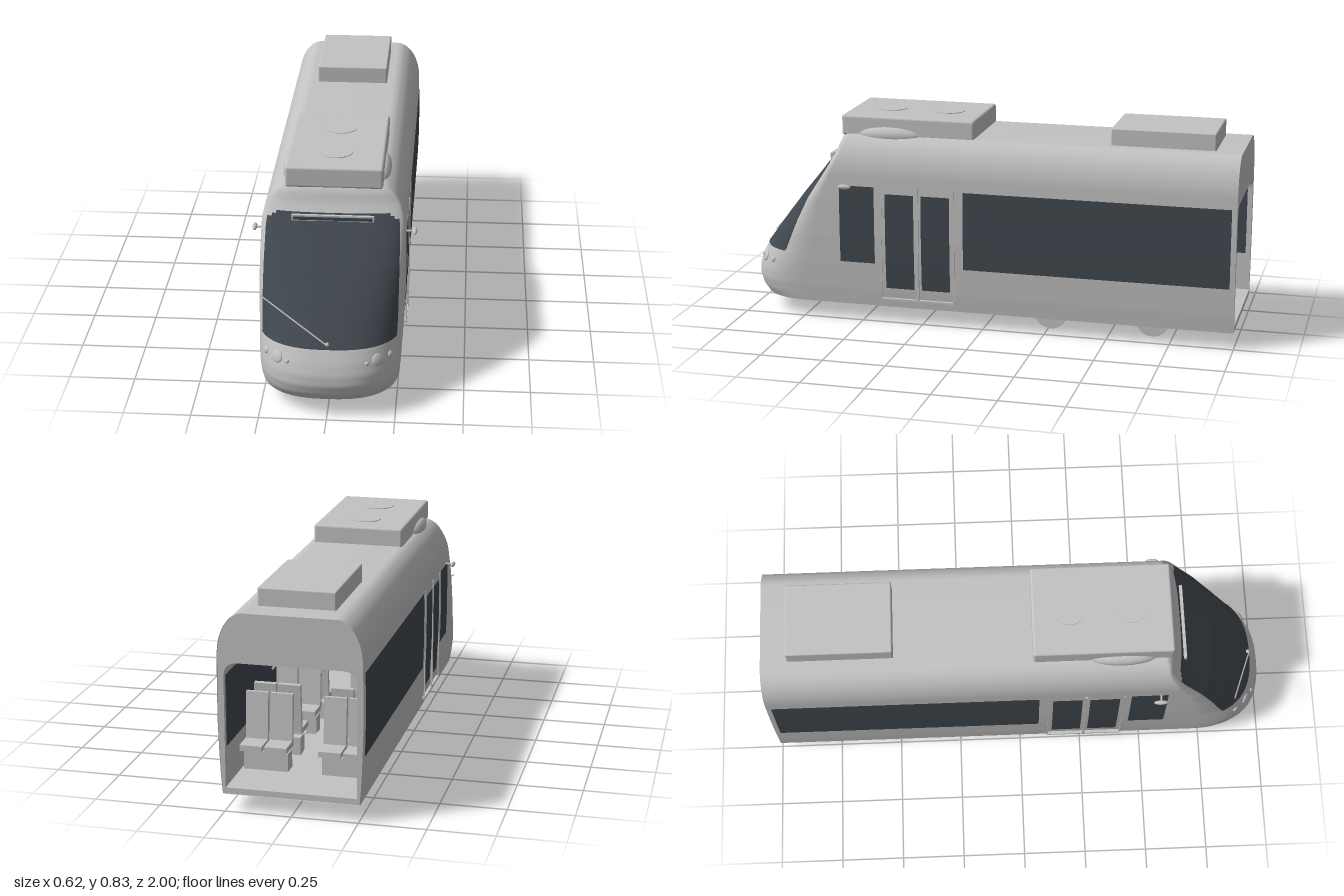
import * as THREE from 'three';
import { RoundedBoxGeometry } from 'three/addons/geometries/RoundedBoxGeometry.js';

const bodyMat = new THREE.MeshStandardMaterial({ color: 0xc2c2c2, side: THREE.DoubleSide });
bodyMat.name = 'light grey';
const glassMat = new THREE.MeshStandardMaterial({ color: 0x41484f, side: THREE.DoubleSide });
glassMat.name = 'dark glass';

// Piecewise linear lookup in [[y, value], ...]
function lookup(table, y) {
  for (let i = 1; i < table.length; i++) {
    const [y0, v0] = table[i - 1], [y1, v1] = table[i];
    if (y <= y1) return v0 + (v1 - v0) * (y - y0) / (y1 - y0);
  }
  return table[table.length - 1][1];
}
const NOSE = [[0.07, 0.965], [0.1, 0.988], [0.14, 1], [0.18, 0.997], [0.22, 0.983], [0.27, 0.958],
  [0.4, 0.86], [0.5, 0.78], [0.6, 0.695], [0.66, 0.645], [0.7, 0.62], [0.74, 0.605], [0.76, 0.59]];
const DEPTH = [[0.07, 0.25], [0.28, 0.25], [0.4, 0.17], [0.5, 0.11], [0.6, 0.07], [0.66, 0.045], [0.76, 0.03]];
const WIDTH = [[0.07, 0.256], [0.14, 0.262], [0.25, 0.267], [0.35, 0.27], [0.5, 0.27], [0.6, 0.268]];
const POWER = 2.5;

// Half width of the body at a height, with a rounded roof shoulder
const halfWidth = (y) => y < 0.6 ? lookup(WIDTH, y)
  : 0.168 + 0.1 * Math.sqrt(Math.max(0, 1 - ((y - 0.6) / 0.16) ** 2));
function nosePoint(x, y) {
  const d = lookup(DEPTH, y), r = Math.min(1, Math.abs(x) / halfWidth(y));
  return new THREE.Vector3(x, y, lookup(NOSE, y) - d + d * (1 - r ** POWER) ** (1 / POWER));
}

// Plan outline at a height: rear right, round the nose, rear left
const STEPS = 60;
function outline(y) {
  const w = halfWidth(y), d = lookup(DEPTH, y), zs = lookup(NOSE, y) - d;
  const pts = [[-w, -1]];
  for (let k = 0; k <= STEPS; k++) {
    const t = -Math.PI / 2 + Math.PI * k / STEPS;
    const s = Math.sin(t), c = Math.max(0, Math.cos(t));
    pts.push([w * Math.sign(s) * Math.abs(s) ** (2 / POWER), zs + d * c ** (2 / POWER)]);
  }
  pts.push([w, -1]);
  return pts;
}

function shellGeometry() {
  const rows = [];
  for (let i = 0; i < 69; i++) rows.push(0.07 + i * 0.01);
  rows.push(0.754, 0.757, 0.759, 0.76);
  const n = STEPS + 3, pos = [], body = [], glass = [];
  for (const y of rows) for (const [x, z] of outline(y)) pos.push(x, y, z);
  for (let i = 0; i < rows.length - 1; i++) {
    for (let j = 0; j < n - 1; j++) {
      const a = i * n + j, b = a + 1, c = a + n, d = c + 1;
      const y = (rows[i] + rows[i + 1]) / 2;
      const ax = Math.abs(pos[a * 3] + pos[b * 3]) / 2;
      const side = Math.abs(j + 0.5 - (1 + STEPS / 2));
      const top = 0.67 - Math.max(0, ax - 0.2) * 0.5;
      const isGlass = side < 22 && y > 0.27 && y < top;
      (isGlass ? glass : body).push(a, b, d, a, d, c);
    }
  }
  // Roof between the two halves of the top row
  const o = (rows.length - 1) * n;
  for (let j = 0; j < (n - 1) / 2; j++) {
    const l0 = o + j, l1 = l0 + 1, r0 = o + n - 1 - j, r1 = r0 - 1;
    body.push(l0, l1, r0);
    if (l1 !== r1) body.push(l1, r1, r0);
  }
  const g = new THREE.BufferGeometry();
  g.setAttribute('position', new THREE.Float32BufferAttribute(pos, 3));
  g.setIndex([...body, ...glass]);
  g.addGroup(0, body.length, 0);
  g.addGroup(body.length, glass.length, 1);
  g.computeVertexNormals();
  return g;
}

// Thin panel following the left or right wall
function wallPanel(side, z0, z1, y0, y1) {
  const g = new THREE.PlaneGeometry(1, 1, 1, 12), p = g.attributes.position;
  for (let i = 0; i < p.count; i++) {
    const y = y0 + (p.getY(i) + 0.5) * (y1 - y0);
    p.setXYZ(i, side * (halfWidth(y) + 0.002), y, side > 0 ? z1 - (p.getX(i) + 0.5) * (z1 - z0) : z0 + (p.getX(i) + 0.5) * (z1 - z0));
  }
  g.computeVertexNormals();
  return g;
}

export function createModel() {
  const root = new THREE.Group();
  root.name = 'tramCar';
  const add = (name, geo, x = 0, y = 0, z = 0, mat = bodyMat, parent = root) => {
    const m = new THREE.Mesh(geo, mat);
    m.name = name;
    m.position.set(x, y, z);
    parent.add(m);
    return m;
  };
  const box = (name, w, h, d, x, y, z, mat, parent) => add(name, new THREE.BoxGeometry(w, h, d), x, y, z, mat, parent);
  const rod = (name, a, b, r) => {
    const dir = b.clone().sub(a);
    const m = add(name, new THREE.CylinderGeometry(r, r, dir.length(), 10));
    m.position.copy(a).addScaledVector(dir, 0.5);
    m.quaternion.setFromUnitVectors(new THREE.Vector3(0, 1, 0), dir.normalize());
  };
  const V = (x, y, z) => new THREE.Vector3(x, y, z);

  // Outer shell with windscreen, and underside
  add('bodyShell', shellGeometry(), 0, 0, 0, [bodyMat, glassMat]);
  const under = new THREE.ShapeGeometry(new THREE.Shape(outline(0.07).map(([x, z]) => new THREE.Vector2(x, z))));
  add('underside', under.rotateX(Math.PI / 2), 0, 0.07, 0);

  // Rear end wall and inner saloon lining in one extrusion
  const right = [], left = [];
  for (let i = 0; i <= 46; i++) {
    const y = 0.072 + 0.686 * (1 - (1 - i / 46) ** 1.6);
    right.push(new THREE.Vector2(halfWidth(y) - 0.002, y));
    left.unshift(new THREE.Vector2(-halfWidth(y) + 0.002, y));
  }
  const section = new THREE.Shape([...right, ...left]);
  const hole = new THREE.Path();
  hole.moveTo(-0.245, 0.095).lineTo(-0.245, 0.52).quadraticCurveTo(-0.243, 0.57, -0.195, 0.572)
    .lineTo(0.195, 0.572).quadraticCurveTo(0.243, 0.57, 0.245, 0.52).lineTo(0.245, 0.095);
  section.holes.push(hole);
  add('saloonLining', new THREE.ExtrudeGeometry(section, { depth: 1.45, bevelEnabled: false, curveSegments: 8 }), 0, 0, -1);
  box('cabBulkhead', 0.5, 0.49, 0.01, 0, 0.335, 0.45);

  // Side windows and doors
  for (const s of [-1, 1]) {
    for (const [name, z0, z1, y0, y1] of [['saloonWindow', -0.98, 0.075, 0.25, 0.565],
      ['doorWindow', 0.13, 0.247, 0.15, 0.54], ['doorWindow', 0.277, 0.395, 0.15, 0.54],
      ['cabWindow', 0.44, 0.585, 0.25, 0.565]])
      add(name, wallPanel(s, z0, z1, y0, y1), 0, 0, 0, glassMat);
    box('innerWindow', 0.003, 0.27, 1.05, s * 0.2435, 0.385, -0.455, glassMat);
    box('doorSeal', 0.008, 0.47, 0.01, s * 0.27, 0.335, 0.262);
    for (const z of [0.113, 0.412]) box('doorFrame', 0.005, 0.46, 0.005, s * 0.269, 0.335, z);
    box('doorSill', 0.02, 0.008, 0.3, s * 0.262, 0.105, 0.262);

    // Mirror
    rod('mirrorArm', V(s * 0.26, 0.567, 0.555), V(s * 0.3, 0.567, 0.555), 0.004);
    add('mirror', new THREE.SphereGeometry(1, 16, 12), s * 0.301, 0.567, 0.553).scale.set(0.009, 0.01, 0.028);

    // Headlights lie flat on the nose
    for (const [x, y, r] of [[0.183, 0.225, 0.023], [0.145, 0.22, 0.008], [0.228, 0.225, 0.013]]) {
      const p = nosePoint(s * x, y);
      const du = nosePoint(s * x + 0.004, y).sub(nosePoint(s * x - 0.004, y));
      const dv = nosePoint(s * x, y + 0.01).sub(nosePoint(s * x, y - 0.01));
      const lamp = add('headlight', new THREE.SphereGeometry(1, 20, 12), p.x, p.y, p.z);
      lamp.scale.set(r, r, 0.007);
      lamp.quaternion.setFromUnitVectors(V(0, 0, 1), du.cross(dv).normalize());
    }

    // Fairing beside the front roof unit
    add('roofFairing', new THREE.SphereGeometry(1, 24, 12), s * 0.172, 0.757, 0.4).scale.set(0.034, 0.036, 0.13);
  }

  // Destination display and wiper
  box('displayFrame', 0.306, 0.022, 0.012, 0, 0.655, 0.651);
  box('displayGlass', 0.294, 0.012, 0.004, 0, 0.654, 0.657, glassMat);
  rod('wiper', V(0, 0.288, 0.957), V(-0.25, 0.435, 0.862), 0.003);
  add('wiperPivot', new THREE.SphereGeometry(0.008, 12, 8), 0, 0.288, 0.95);

  // Roof units
  add('frontRoofUnit', new RoundedBoxGeometry(0.364, 0.082, 0.545, 3, 0.01), 0, 0.791, 0.325);
  add('rearRoofUnit', new RoundedBoxGeometry(0.29, 0.08, 0.41, 3, 0.006), 0, 0.788, -0.692);
  for (const z of [0.2, 0.44]) add('roofFan', new THREE.CylinderGeometry(0.062, 0.062, 0.005, 32), 0, 0.832, z);

  // Bogie
  const across = (r, len) => new THREE.CylinderGeometry(r, r, len, 28).rotateZ(Math.PI / 2);
  for (const z of [-0.26, -0.67]) {
    add('axle', across(0.012, 0.36), 0, 0.064, z);
    const t = z === -0.26 ? -0.365 : -0.565;
    add('motor', across(0.03, 0.165), -0.015, 0.07, t);
    for (const s of [-1, 1]) {
      add('wheel', across(0.06, 0.02), s * 0.177, 0.07, z);
      add('wheelFlange', across(0.068, 0.008), s * 0.166, 0.07, z);
      add('axleBox', new THREE.BoxGeometry(0.025, 0.02, 0.09), s * 0.195, 0.063, z);
      add('brakeDisc', across(0.04, 0.01), s * 0.108, 0.07, t);
    }
  }

  // Paired seats, back to back over the bogie
  for (const [z, f] of [[-0.74, -1], [-0.62, 1], [-0.32, -1], [-0.2, 1]]) {
    for (const s of [-1, 1]) {
      box('seatPlinth', 0.17, 0.07, 0.06, s * 0.15, 0.13, z + f * 0.03);
      for (const x of [0.103, 0.197]) {
        const seat = new THREE.Group();
        seat.name = 'seat';
        seat.position.set(s * x, 0, z);
        box('seatCushion', 0.086, 0.022, 0.1, 0, 0.19, f * 0.05, bodyMat, seat);
        box('seatBack', 0.086, 0.19, 0.018, 0, 0.285, 0, bodyMat, seat).rotation.x = -f * 0.08;
        root.add(seat);
      }
    }
  }
  for (const x of [-0.09, 0.09]) rod('handrail', V(x, 0.53, -0.9), V(x, 0.53, 0.44), 0.005);
  return root;
}
